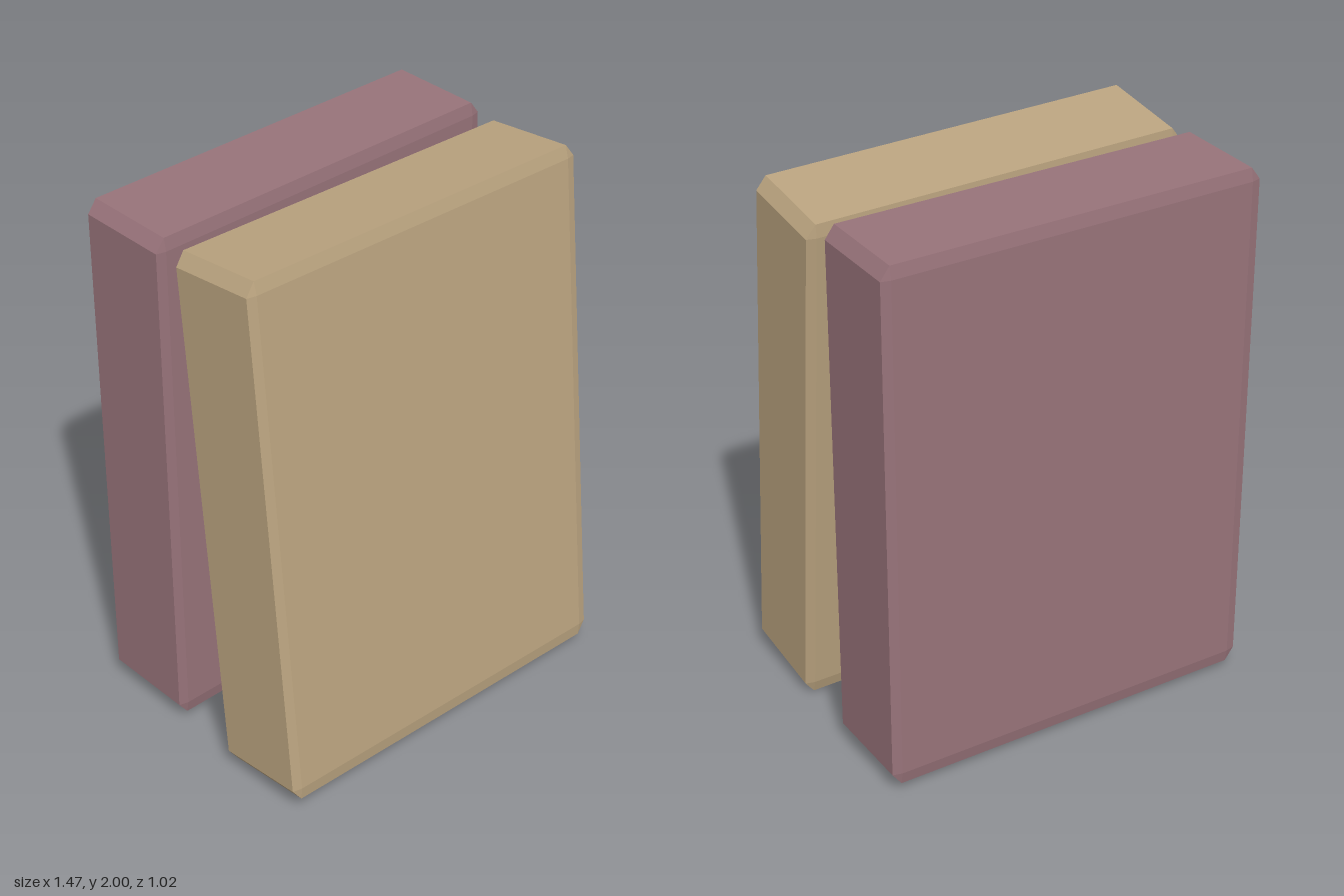
import * as THREE from 'three';
import { ConvexGeometry } from 'three/addons/geometries/ConvexGeometry.js';

// Box with a single-step chamfer on every edge, proportional to each dimension
function chamferedBox(w, h, d, bevel) {
  const points = [];
  for (const sx of [-1, 1]) for (const sy of [-1, 1]) for (const sz of [-1, 1]) {
    for (let full = 0; full < 3; full++) {
      // one axis reaches the full half size, the other two are pulled in
      const [x, y, z] = [w, h, d].map((s, axis) => s * (axis === full ? 0.5 : 0.5 - bevel));
      points.push(new THREE.Vector3(sx * x, sy * y, sz * z));
    }
  }
  return new ConvexGeometry(points);
}

export function createModel() {
  const group = new THREE.Group();
  group.name = 'leaningSlabs';

  function addSlab(name, color, size, position, rotation) {
    const material = new THREE.MeshStandardMaterial({ color, flatShading: true });
    const slab = new THREE.Mesh(chamferedBox(...size, 0.024), material);
    slab.name = name;
    slab.position.set(...position);
    slab.rotation.set(...rotation);
    group.add(slab);
  }

  // upright slab at the back
  addSlab('uprightSlab', 0x98737a, [1.422, 1.945, 0.362], [0.007, 1.003, -0.326], [0, -0.0085, 0]);
  // slab at the front, its top leaning back towards the upright one
  addSlab('leaningSlab', 0xbaa37f, [1.426, 1.95, 0.358], [-0.003, 1.001, 0.214], [-0.114, -0.016, -0.019]);

  return group;
}
